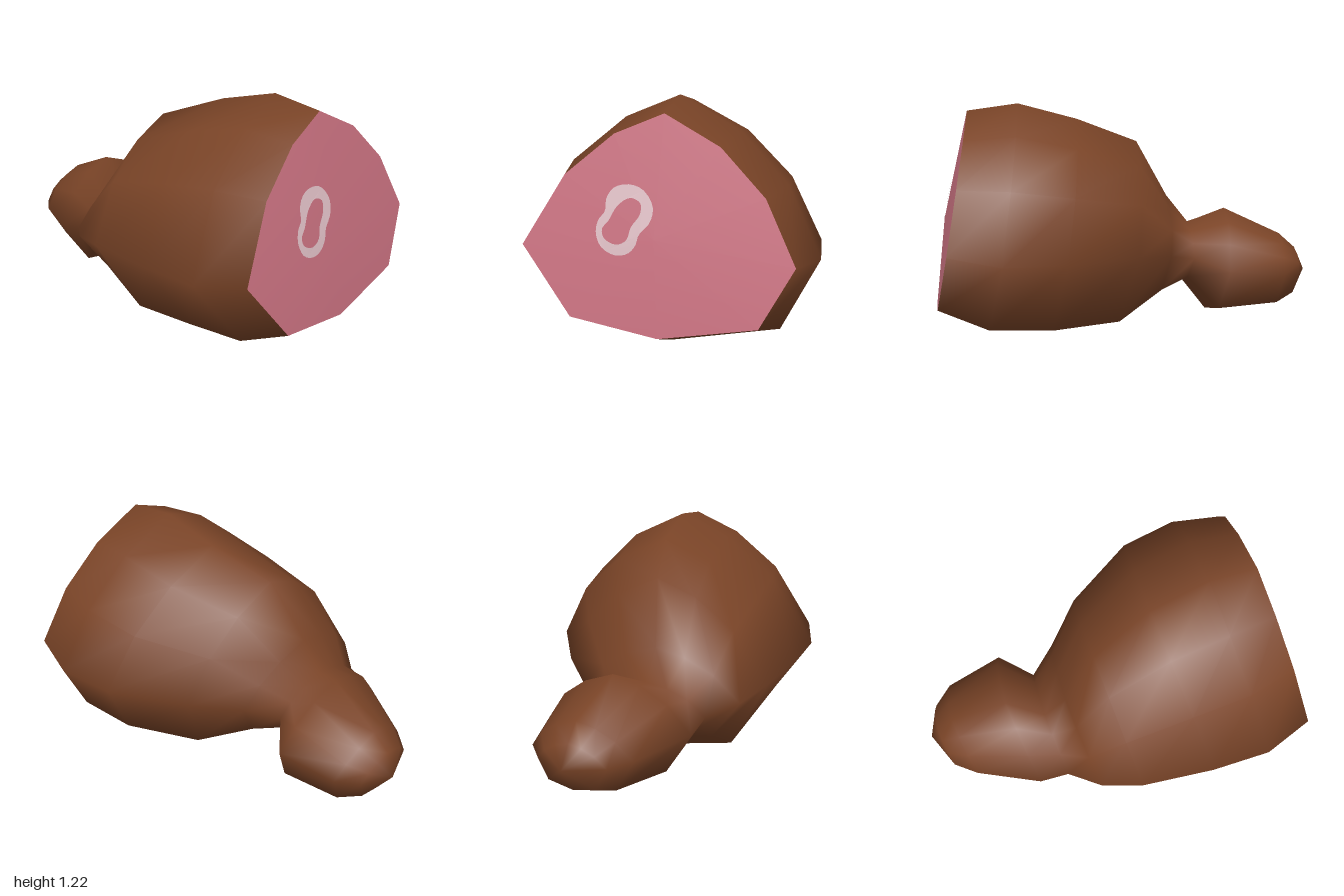
import * as THREE from 'three';

const skin = new THREE.MeshStandardMaterial({ color: 0x7a4427 });
skin.name = 'roasted brown';
const meat = new THREE.MeshStandardMaterial({ color: 0xcb7281 });
meat.name = 'ham pink';
const bone = new THREE.MeshStandardMaterial({ color: 0xe0c0c6 });
bone.name = 'bone white';

// Ten-sided cross-section: u spans the width, v runs from bottom (-1) to top (1)
const SECTION = [
  [-1, 0], [-0.69, 0.53], [-0.33, 0.84], [0.03, 1], [0.44, 0.79],
  [0.77, 0.46], [1, 0], [0.76, -0.76], [0.04, -1], [-0.62, -0.84],
];

// Rings: xMin, xMax, yBottom, yWidest, yTop, zBottom, zWidest, zTop
const RINGS = [
  [-0.65, 0.65, 0.16, 0.54, 1.18, 1.0, 0.933, 0.82],
  [-0.73, 0.725, 0.05, 0.5, 1.215, 0.76, 0.68, 0.56],
  [-0.72, 0.68, 0.02, 0.49, 1.13, 0.45, 0.37, 0.25],
  [-0.67, 0.46, 0.0, 0.47, 1.0, 0.1, -0.01, -0.08],
  [-0.59, 0.26, 0.17, 0.43, 0.69, -0.17, -0.21, -0.26],
  [-0.46, 0.14, 0.24, 0.39, 0.54, -0.33, -0.36, -0.38],
  [-0.44, 0.32, 0.07, 0.35, 0.63, -0.46, -0.51, -0.56],
  [-0.27, 0.265, 0.1, 0.31, 0.49, -0.79, -0.82, -0.86],
  [-0.18, 0.18, 0.15, 0.3, 0.41, -0.9, -0.925, -0.95],
];
const TIP = [0.02, 0.29, -1];
const CENTRE = [0, 0.62];
const BULGE = 0.03;

function ringPoints([x0, x1, yB, yM, yT, zB, zM, zT]) {
  return SECTION.map(([u, v]) => {
    const t = Math.abs(v);
    return [
      (x0 + x1) / 2 + (u * (x1 - x0)) / 2,
      yM + t * ((v > 0 ? yT : yB) - yM),
      zM + t * ((v > 0 ? zT : zB) - zM),
    ];
  });
}

function build(points, indices) {
  const g = new THREE.BufferGeometry();
  g.setAttribute('position', new THREE.Float32BufferAttribute(points.flat(), 3));
  g.setIndex(indices);
  g.computeVertexNormals();
  return g;
}

function add(group, name, geometry, material) {
  const mesh = new THREE.Mesh(geometry, material);
  mesh.name = name;
  group.add(mesh);
}

// Height of the gently domed, tilted cut face
const rim = ringPoints(RINGS[0]);
function cutZ(x, y) {
  let inside = 1;
  rim.forEach(([ax, ay], j) => {
    const [bx, by] = rim[(j + 1) % rim.length];
    const side = (px, py) => (bx - ax) * (py - ay) - (by - ay) * (px - ax);
    inside = Math.min(inside, side(x, y) / side(...CENTRE));
  });
  return 1.028 - 0.176 * y + BULGE * inside;
}

function closedCurve(points) {
  const curve = new THREE.CatmullRomCurve3(points.map(([x, y]) => new THREE.Vector3(x, y, 0)), true);
  return curve.getPoints(40).slice(0, -1).map((p) => new THREE.Vector2(p.x, p.y));
}

export function createModel() {
  const group = new THREE.Group();
  group.name = 'hamLeg';
  const n = SECTION.length;

  // Skin: one loft from the cut rim through the narrow neck to the knuckle
  const points = RINGS.flatMap(ringPoints);
  const indices = [];
  const last = RINGS.length - 1;
  for (let i = 0; i <= last; i++) {
    for (let j = 0; j < n; j++) {
      const a = i * n + j;
      const b = i * n + ((j + 1) % n);
      if (i < last) indices.push(a, b, a + n, b, b + n, a + n);
      else indices.push(a, b, points.length);
    }
  }
  points.push(TIP);
  add(group, 'skin', build(points, indices), skin);

  // Cut face: fan around a slightly raised centre
  const fan = [];
  for (let j = 0; j < n; j++) fan.push(n, (j + 1) % n, j);
  add(group, 'cutFace', build([...rim, [...CENTRE, cutZ(...CENTRE)]], fan), meat);

  // Bone: bean-shaped ring laid on the cut face
  const shape = new THREE.Shape(closedCurve([
    [-0.13, 0.86], [-0.06, 0.84], [-0.01, 0.77], [-0.02, 0.7], [-0.07, 0.64], [-0.085, 0.59],
    [-0.12, 0.55], [-0.18, 0.535], [-0.25, 0.565], [-0.28, 0.63], [-0.27, 0.69],
    [-0.24, 0.73], [-0.235, 0.79], [-0.2, 0.84],
  ]));
  shape.holes.push(new THREE.Path(closedCurve([
    [-0.12, 0.8], [-0.07, 0.78], [-0.07, 0.73], [-0.11, 0.67], [-0.13, 0.61],
    [-0.18, 0.585], [-0.24, 0.61], [-0.25, 0.65], [-0.22, 0.69], [-0.18, 0.76],
  ])));
  const ring = new THREE.ShapeGeometry(shape);
  const pos = ring.attributes.position;
  for (let i = 0; i < pos.count; i++) pos.setZ(i, cutZ(pos.getX(i), pos.getY(i)) + 0.006);
  ring.computeVertexNormals();
  add(group, 'boneRing', ring, bone);

  return group;
}
